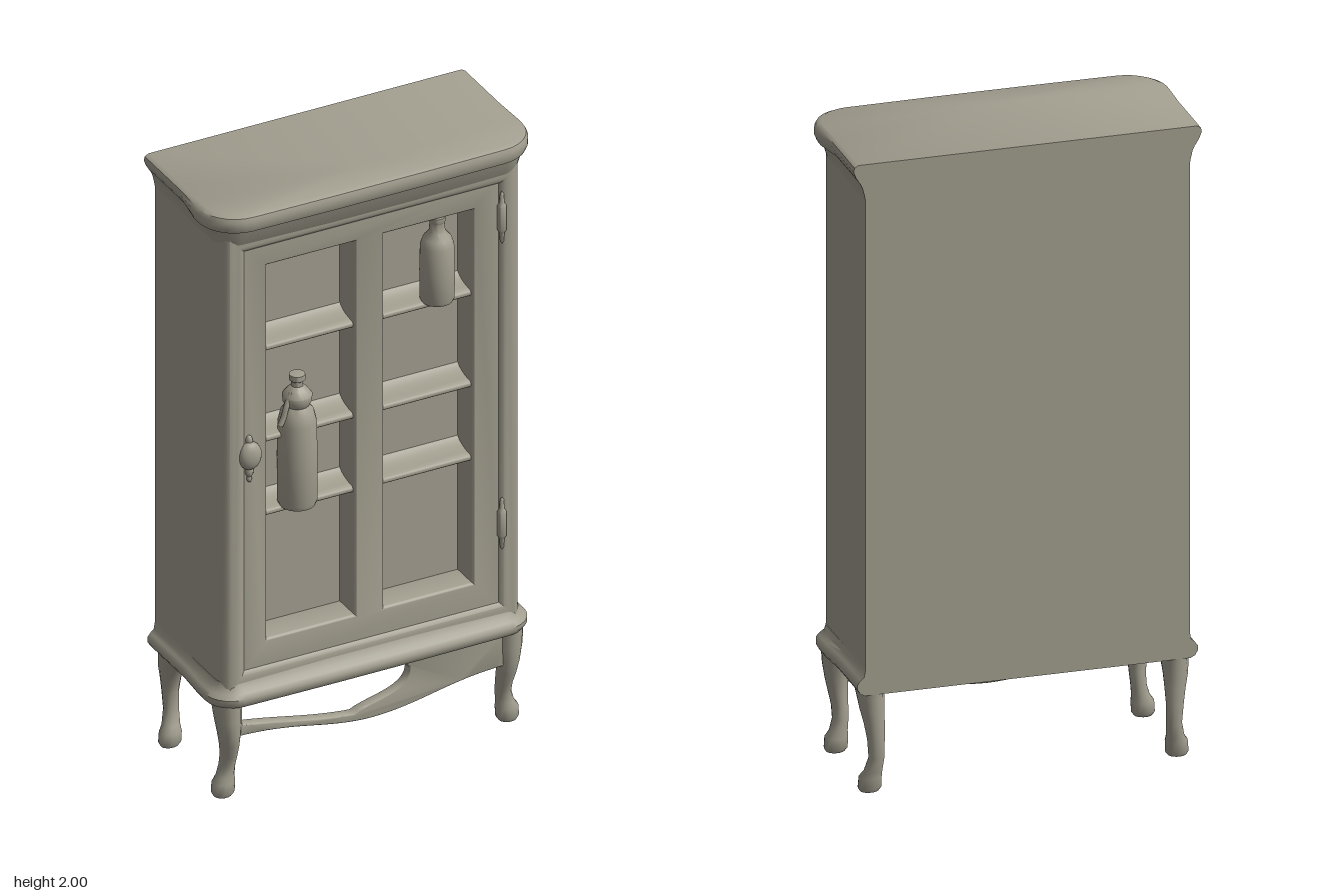
import * as THREE from 'three';
import { toCreasedNormals } from 'three/addons/utils/BufferGeometryUtils.js';

const paint = new THREE.MeshStandardMaterial({ color: 0xa29e8f });
paint.name = 'warm grey paint';

const V = (x, y, z) => new THREE.Vector3(x, y, z);

function add(parent, name, geometry, crease = 0.7) {
  const mesh = new THREE.Mesh(crease ? toCreasedNormals(geometry, crease) : geometry, paint);
  mesh.name = name;
  parent.add(mesh);
  return mesh;
}

// Skins closed rings stacked upward and caps both ends
function loft(rings) {
  const n = rings[0].length, pos = [], idx = [];
  rings.forEach(r => r.forEach(p => pos.push(p.x, p.y, p.z)));
  for (let i = 0; i < rings.length - 1; i++) {
    for (let j = 0; j < n; j++) {
      const a = i * n + j, b = i * n + (j + 1) % n, c = a + n, d = b + n;
      idx.push(a, c, b, b, c, d);
    }
  }
  [0, rings.length - 1].forEach((k, end) => {
    const m = rings[k].reduce((s, p) => s.add(p), V(0, 0, 0)).divideScalar(n);
    const centre = pos.length / 3;
    pos.push(m.x, m.y, m.z);
    for (let j = 0; j < n; j++) {
      const a = k * n + j, b = k * n + (j + 1) % n;
      if (end) idx.push(centre, b, a); else idx.push(centre, a, b);
    }
  });
  const g = new THREE.BufferGeometry();
  g.setAttribute('position', new THREE.Float32BufferAttribute(pos, 3));
  g.setIndex(idx);
  return g;
}

const BACK = -0.238;

// Plan outline: flat back, gently bowed front, rounded front corners
function planRing(y, hx, hxBack, zf, r) {
  const half = [V(hxBack, y, BACK), V(hxBack, y, -0.02), V(hx, y, 0.08)];
  for (let i = 0; i <= 7; i++) {
    const a = i / 7 * Math.PI / 2;
    half.push(V(hx - r + r * Math.cos(a), y, zf - r + r * Math.sin(a)));
  }
  half.push(V(0.15, y, zf + 0.003));
  return half.concat(half.map(p => V(-p.x, p.y, p.z)).reverse());
}

// Rows of [y, half width, half width at back, front z, corner radius]
const moulding = rows => loft(rows.map(r => planRing(...r)));

// Rows of [y, centre x, centre z, radius x, radius z]
function limb(rows, side) {
  return loft(rows.map(([y, cx, cz, rx, rz]) => Array.from({ length: 14 }, (_, j) => {
    const a = j / 14 * Math.PI * 2;
    return V(side * cx + rx * Math.cos(a), y, cz + rz * Math.sin(a));
  })));
}

// Bevelled panel with rectangular openings [x0, x1, y0, y1]
function panel(outer, openings, zb, zf, bevel, bevelDepth) {
  const trace = (p, [x0, x1, y0, y1], b) => {
    p.moveTo(x0 + b, y0 + b);
    p.lineTo(x1 - b, y0 + b);
    p.lineTo(x1 - b, y1 - b);
    p.lineTo(x0 + b, y1 - b);
    p.closePath();
    return p;
  };
  const shape = trace(new THREE.Shape(), outer, bevel);
  openings.forEach(o => shape.holes.push(trace(new THREE.Path(), o, -bevel)));
  const g = new THREE.ExtrudeGeometry(shape, {
    depth: zf - zb - bevelDepth, bevelSize: bevel, bevelThickness: bevelDepth, bevelSegments: 5
  });
  return g.translate(0, 0, zb);
}

const lathe = points => new THREE.LatheGeometry(points.map(p => new THREE.Vector2(...p)), 20);

export function createModel() {
  const root = new THREE.Group();
  root.name = 'displayCabinet';

  // Carcass, rounded front posts and slightly sunken door
  const depth = 0.083 - BACK;
  const carcass = new THREE.BoxGeometry(1, 1.6, depth).translate(0, 1.14, BACK + depth / 2);
  add(root, 'carcass', carcass);
  add(root, 'frontPosts', panel([-0.5, 0.5, 0.34, 1.94], [[-0.412, 0.412, 0.44, 1.84]], 0.06, 0.19, 0.035, 0.055));
  const panes = [[-0.345, -0.055, 0.515, 1.782], [0.045, 0.338, 0.515, 1.782]];
  add(root, 'door', panel([-0.44, 0.44, 0.4, 1.88], panes, 0.06, 0.177, 0.012, 0.014));

  // Shelves reaching the door, coved into the back
  const shelfShape = new THREE.Shape();
  shelfShape.moveTo(0.08, 0.03);
  shelfShape.quadraticCurveTo(0.095, 0.004, 0.16, 0);
  shelfShape.quadraticCurveTo(0.174, -0.01, 0.16, -0.02);
  shelfShape.quadraticCurveTo(0.095, -0.025, 0.08, -0.05);
  shelfShape.closePath();
  [1.505, 1.195, 0.945].forEach(y => panes.forEach(([x0, x1]) => {
    const g = new THREE.ExtrudeGeometry(shelfShape, { depth: x1 - x0, bevelEnabled: false, curveSegments: 6 });
    g.rotateY(-Math.PI / 2).translate(x1, y, 0);
    add(root, 'shelf', g);
  }));

  // Cornice and base moulding
  add(root, 'cornice', moulding([
    [1.87, 0.496, 0.498, 0.182, 0.05], [1.9, 0.506, 0.503, 0.198, 0.07], [1.925, 0.513, 0.509, 0.208, 0.08],
    [1.94, 0.525, 0.516, 0.214, 0.1], [1.945, 0.538, 0.52, 0.226, 0.12], [1.96, 0.544, 0.529, 0.232, 0.125],
    [1.98, 0.544, 0.537, 0.232, 0.125], [1.993, 0.538, 0.534, 0.227, 0.12], [2, 0.524, 0.522, 0.214, 0.11]
  ]));
  add(root, 'baseMoulding', moulding([
    [0.318, 0.51, 0.502, 0.195, 0.08], [0.325, 0.524, 0.516, 0.21, 0.085], [0.34, 0.533, 0.525, 0.22, 0.09],
    [0.355, 0.533, 0.525, 0.22, 0.09], [0.368, 0.523, 0.515, 0.21, 0.085], [0.378, 0.51, 0.504, 0.198, 0.07],
    [0.4, 0.502, 0.5, 0.187, 0.05]
  ]));

  // Cabriole legs
  const frontLeg = [
    [0, 0.475, 0.138, 0.028, 0.024], [0.012, 0.474, 0.137, 0.036, 0.032], [0.045, 0.472, 0.137, 0.036, 0.031],
    [0.065, 0.466, 0.136, 0.028, 0.027], [0.1, 0.46, 0.137, 0.024, 0.028], [0.14, 0.459, 0.146, 0.025, 0.032],
    [0.18, 0.462, 0.155, 0.029, 0.037], [0.22, 0.465, 0.159, 0.034, 0.041], [0.27, 0.468, 0.157, 0.04, 0.045],
    [0.33, 0.469, 0.15, 0.045, 0.052]
  ];
  const backLeg = [
    [0, 0.475, -0.193, 0.028, 0.022], [0.012, 0.474, -0.193, 0.036, 0.029], [0.045, 0.472, -0.194, 0.035, 0.029],
    [0.065, 0.466, -0.202, 0.028, 0.025], [0.11, 0.459, -0.214, 0.024, 0.021], [0.17, 0.461, -0.215, 0.027, 0.022],
    [0.22, 0.464, -0.207, 0.032, 0.03], [0.26, 0.468, -0.197, 0.037, 0.04], [0.3, 0.469, -0.185, 0.041, 0.052],
    [0.33, 0.469, -0.17, 0.044, 0.067]
  ];
  [-1, 1].forEach(side => {
    add(root, 'frontLeg', limb(frontLeg, side), 1);
    add(root, 'backLeg', limb(backLeg, side), 1);
  });

  // Scalloped apron with an uneven opening
  const apron = new THREE.Shape();
  apron.moveTo(-0.45, 0.33);
  apron.lineTo(-0.45, 0.208);
  apron.bezierCurveTo(-0.25, 0.207, -0.15, 0.152, 0, 0.151);
  apron.bezierCurveTo(0.17, 0.153, 0.26, 0.207, 0.45, 0.207);
  apron.lineTo(0.45, 0.33);
  const gap = new THREE.Path();
  gap.moveTo(-0.43, 0.247);
  gap.bezierCurveTo(-0.3, 0.229, -0.2, 0.195, -0.06, 0.183);
  gap.bezierCurveTo(0, 0.215, 0.13, 0.21, 0.125, 0.29);
  gap.bezierCurveTo(0.11, 0.31, 0.08, 0.32, 0.03, 0.324);
  gap.lineTo(-0.28, 0.324);
  gap.bezierCurveTo(-0.37, 0.3, -0.4, 0.31, -0.43, 0.31);
  gap.closePath();
  apron.holes.push(gap);
  const apronGeo = new THREE.ExtrudeGeometry(apron, {
    depth: 0.018, bevelSize: 0.006, bevelThickness: 0.008, bevelSegments: 3, bevelOffset: -0.006, curveSegments: 16
  });
  add(root, 'apron', apronGeo.translate(0, 0, 0.155));

  // Bottles on the shelves
  const tall = add(root, 'tallBottle', lathe([
    [0, 0.94], [0.055, 0.94], [0.06, 0.955], [0.061, 1.1], [0.058, 1.22], [0.05, 1.255], [0.036, 1.275],
    [0.044, 1.29], [0.045, 1.31], [0.03, 1.33], [0.018, 1.34], [0.018, 1.355], [0.024, 1.36], [0.024, 1.378], [0, 1.382]
  ]));
  tall.position.set(-0.238, 0, 0.16);
  const handle = new THREE.CatmullRomCurve3([
    V(-0.262, 1.325, 0.17), V(-0.282, 1.285, 0.175), V(-0.292, 1.25, 0.175), V(-0.303, 1.225, 0.175)
  ]);
  add(root, 'bottleHandle', new THREE.TubeGeometry(handle, 10, 0.009, 8), 0);
  const small = add(root, 'smallBottle', lathe([
    [0, 1.502], [0.048, 1.502], [0.052, 1.512], [0.053, 1.6], [0.051, 1.69], [0.042, 1.715],
    [0.025, 1.735], [0.022, 1.765], [0.025, 1.77], [0.025, 1.785], [0, 1.787]
  ]));
  small.position.set(0.23, 0, 0.157);

  // Door knob with its drop, and the two hinges
  const knob = add(root, 'doorKnob', new THREE.SphereGeometry(0.037, 18, 12).scale(1, 1.25, 0.65), 0);
  knob.position.set(-0.41, 1.16, 0.188);
  [[1.208, 0.011], [1.105, 0.013], [1.08, 0.008]].forEach(([y, r]) => {
    const bead = add(root, 'knobBead', new THREE.SphereGeometry(r, 12, 8).scale(1, 1.6, 1), 0);
    bead.position.set(-0.41, y, 0.182);
  });
  [1.74, 0.7].forEach(y => {
    const hinge = add(root, 'hinge', lathe([
      [0, -0.09], [0.006, -0.08], [0.008, -0.05], [0.014, -0.04], [0.014, 0.04], [0.008, 0.05], [0.006, 0.08], [0, 0.09]
    ]));
    hinge.position.set(0.43, y, 0.187);
  });

  return root;
}
